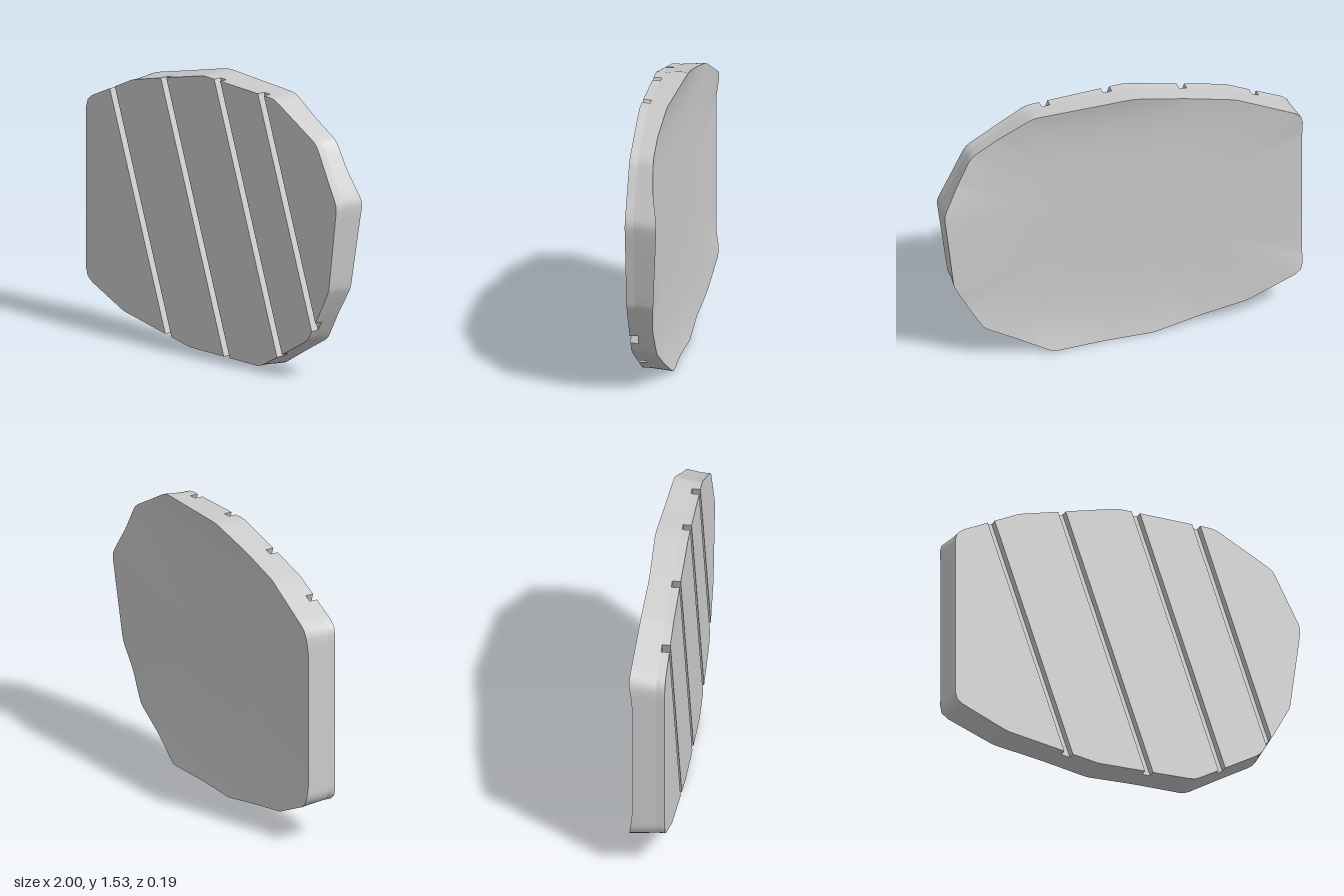
import * as THREE from 'three';
import { toCreasedNormals, mergeVertices } from 'three/addons/utils/BufferGeometryUtils.js';

const CY = 0.76;                       // height of the slab's middle
const FRONT = 0.095, FLOOR = 0.05;     // front face and groove floor
const FRONT_SCALE = 0.986;             // the sides taper towards the front
const SLANT = 0.347;                   // grooves follow x + SLANT * y = constant
const GROOVES = [-0.323, 0.126, 0.572, 0.912], GROOVE_HALF = 0.023;

// Rim points, counter-clockwise from the front: x, y, depth of back edge, corner cut
const RIM = [
  [-1, 0.235, -0.096, 0.05], [-0.7, 0.1, -0.077, 0.02], [-0.43, 0.049, -0.065, 0.02],
  [-0.17, 0, -0.07, 0.02], [0.1, 0, -0.062, 0.02], [0.39, 0, -0.072, 0.03],
  [0.58, 0.107, -0.049, 0.02], [0.77, 0.215, -0.043, 0.03], [0.86, 0.37, -0.035, 0.02],
  [0.94, 0.52, -0.05, 0.02], [1.003, 1, -0.078, 0.03], [0.92, 1.161, -0.046, 0.02],
  [0.84, 1.318, -0.035, 0.03], [0.69, 1.402, -0.035, 0.02], [0.5, 1.507, -0.055, 0.03],
  [-0.06, 1.53, -0.083, 0.03], [-0.36, 1.462, -0.073, 0.05], [-0.63, 1.4, -0.081, 0.02],
  [-1, 1.23, -0.098, 0.05], [-1, 1.1, -0.079, 0.03], [-1, 0.34, -0.079, 0.03],
];

// Rim with softened corners, split into short segments
function makeRim() {
  const corners = RIM.map((p) => new THREE.Vector3(p[0], p[1], p[2]));
  const n = corners.length, soft = [], rim = [];
  corners.forEach((p, i) => {
    const towards = (q) => p.clone().lerp(q, RIM[i][3] / p.distanceTo(q));
    const a = towards(corners[(i + n - 1) % n]), c = towards(corners[(i + 1) % n]);
    soft.push(a, a.clone().add(c).multiplyScalar(0.25).addScaledVector(p, 0.5), c);
  });
  soft.forEach((p, i) => {
    const q = soft[(i + 1) % soft.length];
    const steps = Math.ceil(p.distanceTo(q) / 0.08);
    for (let k = 0; k < steps; k++) rim.push(p.clone().lerp(q, k / steps));
  });
  return rim;
}

const scaled = (p, s, z) => new THREE.Vector3(p.x * s, CY + (p.y - CY) * s, z);

// Quads between two closed loops of equal length
function band(tris, back, front) {
  back.forEach((b0, i) => {
    const j = (i + 1) % back.length;
    tris.push(b0, back[j], front[j], b0, front[j], front[i]);
  });
}

function fan(tris, loop) {
  for (let i = 1; i < loop.length - 1; i++) tris.push(loop[0], loop[i], loop[i + 1]);
}

// Part of a convex loop where sign * (x + SLANT * y - limit) >= 0
function clip(loop, limit, sign) {
  const dist = (p) => sign * (p.x + SLANT * p.y - limit);
  const out = [];
  loop.forEach((p, i) => {
    const q = loop[(i + 1) % loop.length], dp = dist(p), dq = dist(q);
    if (dp >= 0) out.push(p);
    if (dp * dq < 0) out.push(p.clone().lerp(q, dp / (dp - dq)));
  });
  return out;
}

const geometryFrom = (tris) => new THREE.BufferGeometry().setFromPoints(tris);

export function createModel() {
  const group = new THREE.Group();
  group.name = 'groovedSlab';
  const grey = new THREE.MeshStandardMaterial({ color: 0xcccccc });
  grey.name = 'plain grey';
  const add = (name, geometry) => {
    const mesh = new THREE.Mesh(geometry, grey);
    mesh.name = name;
    group.add(mesh);
  };

  const rim = makeRim();
  const floorLoop = rim.map((p) => scaled(p, FRONT_SCALE, FLOOR));

  // Tapered outer wall
  const wall = [];
  band(wall, rim, floorLoop);
  add('outerWall', toCreasedNormals(geometryFrom(wall), 0.65));

  // Shallow dished back, in rings from the middle out to the rim
  const RINGS = 16, back = [];
  const ring = (k) => rim.map((p) => {
    const t = k / RINGS, v = scaled(p, t, 0);
    const dish = -0.024 - 0.055 * ((1 - Math.min(v.x, 1)) / 2) ** 2.2;
    v.z = THREE.MathUtils.lerp(dish, p.z, t ** 5);
    return v;
  });
  for (let k = 0; k < RINGS; k++) band(back, ring(k), ring(k + 1));
  // swap two corners of each triangle if it does not look backwards
  for (let i = 0; i < back.length; i += 3) {
    const [a, b, c] = back.slice(i, i + 3);
    const nz = (b.x - a.x) * (c.y - a.y) - (b.y - a.y) * (c.x - a.x);
    if (nz > 0) { back[i + 1] = c; back[i + 2] = b; }
  }
  const backGeometry = mergeVertices(geometryFrom(back), 1e-5);
  backGeometry.computeVertexNormals();
  add('dishedBack', backGeometry);

  // Raised front panels between the slanted grooves
  const edges = [-9, ...GROOVES.flatMap((g) => [g - GROOVE_HALF, g + GROOVE_HALF]), 9];
  for (let i = 0; i < edges.length - 1; i++) {
    const strip = clip(clip(floorLoop, edges[i], 1), edges[i + 1], -1);
    const tris = [], isPanel = i % 2 === 0;
    if (isPanel) {
      const face = strip.map((p) => scaled(p, 1, FRONT));
      band(tris, strip, face);
      fan(tris, face);
    } else {
      fan(tris, strip);
    }
    add(isPanel ? 'frontPanel' : 'grooveFloor', toCreasedNormals(geometryFrom(tris), 0.65));
  }
  return group;
}
